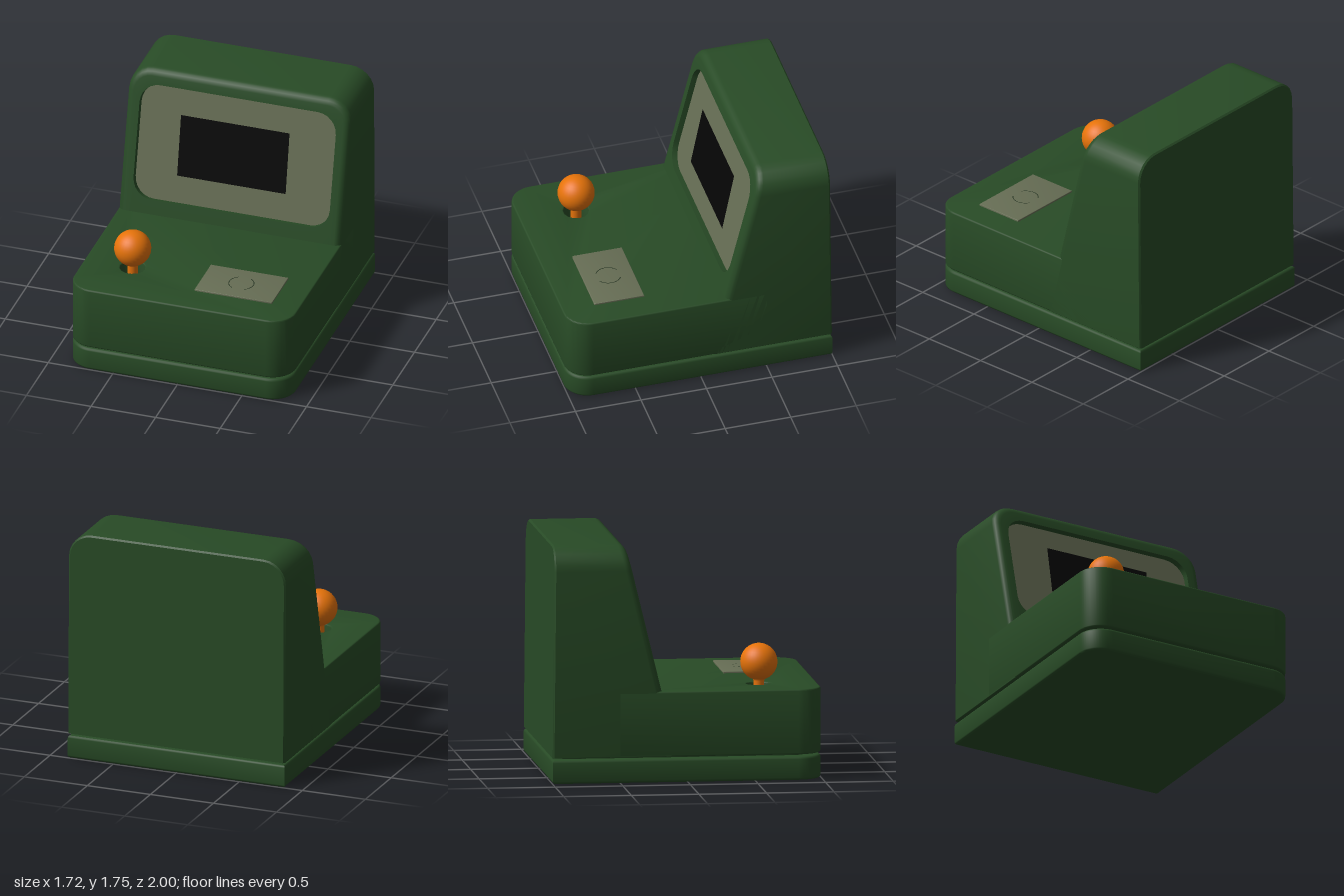
import * as THREE from 'three';
import { toCreasedNormals } from 'three/addons/utils/BufferGeometryUtils.js';

const mat = (color) => new THREE.MeshStandardMaterial({ color });
const green = mat(0x284b26), tan = mat(0x666d54), orange = mat(0xe6730a), black = mat(0x060606), dark = mat(0x22301f);

function add(group, name, geometry, material, x = 0, y = 0, z = 0) {
  const mesh = new THREE.Mesh(geometry, material);
  mesh.name = name;
  mesh.position.set(x, y, z);
  group.add(mesh);
  return mesh;
}

// Slab with rounded front corners, standing from y0 to y1
function slab(hw, zBack, zFront, r, y0, y1, bevel, hole) {
  const s = new THREE.Shape();
  s.moveTo(hw, -zBack);
  s.lineTo(-hw, -zBack);
  s.absarc(-hw + r, -zFront + r, r, Math.PI, 1.5 * Math.PI);
  s.absarc(hw - r, -zFront + r, r, 1.5 * Math.PI, 2 * Math.PI);
  s.closePath();
  if (hole) s.holes.push(new THREE.Path().absarc(hole.x, -hole.z, hole.r, 0, 2 * Math.PI, true));
  const g = new THREE.ExtrudeGeometry(s, {
    depth: y1 - y0 - 2 * bevel, bevelThickness: bevel, bevelSize: bevel,
    bevelOffset: -bevel, bevelSegments: 3, curveSegments: 7,
  });
  g.rotateX(-Math.PI / 2).translate(0, y0 + bevel, 0);
  return toCreasedNormals(g, 0.6);
}

// Rounded-rectangle loop, counter-clockwise from the front; z follows a rule of y
function ring(hw, y0, y1, rTop, rBottom, zOf) {
  const pts = [], seg = 6;
  const corners = [[1, y0 + rBottom, rBottom], [1, y1 - rTop, rTop], [-1, y1 - rTop, rTop], [-1, y0 + rBottom, rBottom]];
  corners.forEach(([side, cy, r], c) => {
    for (let i = 0; i <= seg; i++) {
      const a = (c - 1 + i / seg) * Math.PI / 2;
      const y = cy + r * Math.sin(a);
      pts.push([side * (hw - r) + r * Math.cos(a), y, zOf(y)]);
    }
  });
  return pts;
}

// Skin over successive loops of equal length
function loft(rings) {
  const n = rings[0].length, index = [];
  for (let k = 0; k + 1 < rings.length; k++) {
    for (let i = 0; i < n; i++) {
      const a = k * n + i, b = k * n + (i + 1) % n;
      index.push(a, b, b + n, a, b + n, a + n);
    }
  }
  const g = new THREE.BufferGeometry();
  g.setAttribute('position', new THREE.Float32BufferAttribute(rings.flat(2), 3));
  g.setIndex(index);
  return toCreasedNormals(g, 0.6);
}

export function createModel() {
  const model = new THREE.Group();
  model.name = 'arcadeCabinet';
  const stick = { x: -0.49, z: 0.57 };

  // Base, shadow gap and control deck with a hole for the stick
  add(model, 'base', slab(0.86, -1, 1, 0.18, 0, 0.175, 0.02), green);
  add(model, 'gapCore', slab(0.78, -0.92, 0.91, 0.14, 0.15, 0.22, 0.005), green);
  add(model, 'controlDeck', slab(0.86, -0.5, 1, 0.18, 0.19, 0.672, 0.012, { ...stick, r: 0.093 }), green);

  // Hood: back panel, rounded sides, sloped front and recessed opening
  const front = (y) => -0.19 - 0.243 * (y - 0.67);
  const back = (y) => -1 + 0.01 * (y - 0.19);
  const outer = (inset, zOf) => ring(0.86 - inset, 0.19 + inset * 0.1, 1.75 - inset, 0.18 - inset, 0.005, zOf);
  const rings = [
    ring(0, 1, 1, 0, 0, back),
    outer(0.012, back),
    outer(0, (y) => back(y) + 0.012),
  ];
  const round = 0.05;
  for (let i = 0; i <= 5; i++) {
    const a = i / 5 * Math.PI / 2;
    rings.push(outer(round * (1 - Math.cos(a)), (y) => front(y) - round * (1 - Math.sin(a))));
  }
  const recessed = (y) => front(y) - 0.043;
  const recess = ring(0.757, 0.77, 1.63, 0.15, 0.15, recessed);
  rings.push(ring(0.76, 0.78, 1.64, 0.15, 0.15, front), recess);
  add(model, 'hood', loft(rings), green);

  // Bezel panel at the bottom of the recess, and the display in front of it
  add(model, 'bezel', loft([recess, ring(0, 1.2, 1.2, 0, 0, recessed)]), tan);
  const tilt = Math.atan(0.194);
  const display = add(model, 'display', new THREE.PlaneGeometry(0.84, 0.465 / Math.cos(tilt)), black, -0.015, 1.2125, -0.335);
  display.rotation.x = -tilt;

  // Joystick: shaft flaring into a ball
  const joystick = new THREE.Group();
  joystick.name = 'joystick';
  joystick.position.set(stick.x, 0, stick.z);
  const shaft = [[0.04, 0.2], [0.04, 0.69], [0.045, 0.71], [0.06, 0.725], [0.085, 0.737]];
  add(joystick, 'shaft', new THREE.LatheGeometry(shaft.map(([r, y]) => new THREE.Vector2(r, y)), 24), orange);
  add(joystick, 'ball', new THREE.SphereGeometry(0.137, 32, 20), orange, 0, 0.833, 0);
  model.add(joystick);

  // Button plate with two curved marks
  add(model, 'buttonPlate', slab(0.3, -0.19, 0.19, 0.008, 0.66, 0.685, 0.004), tan, 0.35, 0, 0.565);
  for (const side of [0, Math.PI]) {
    const arc = new THREE.RingGeometry(0.09, 0.096, 20, 1, side - 1.05, 2.1).rotateX(-Math.PI / 2);
    add(model, 'buttonMark', arc, dark, 0.35, 0.687, 0.565);
  }
  return model;
}
